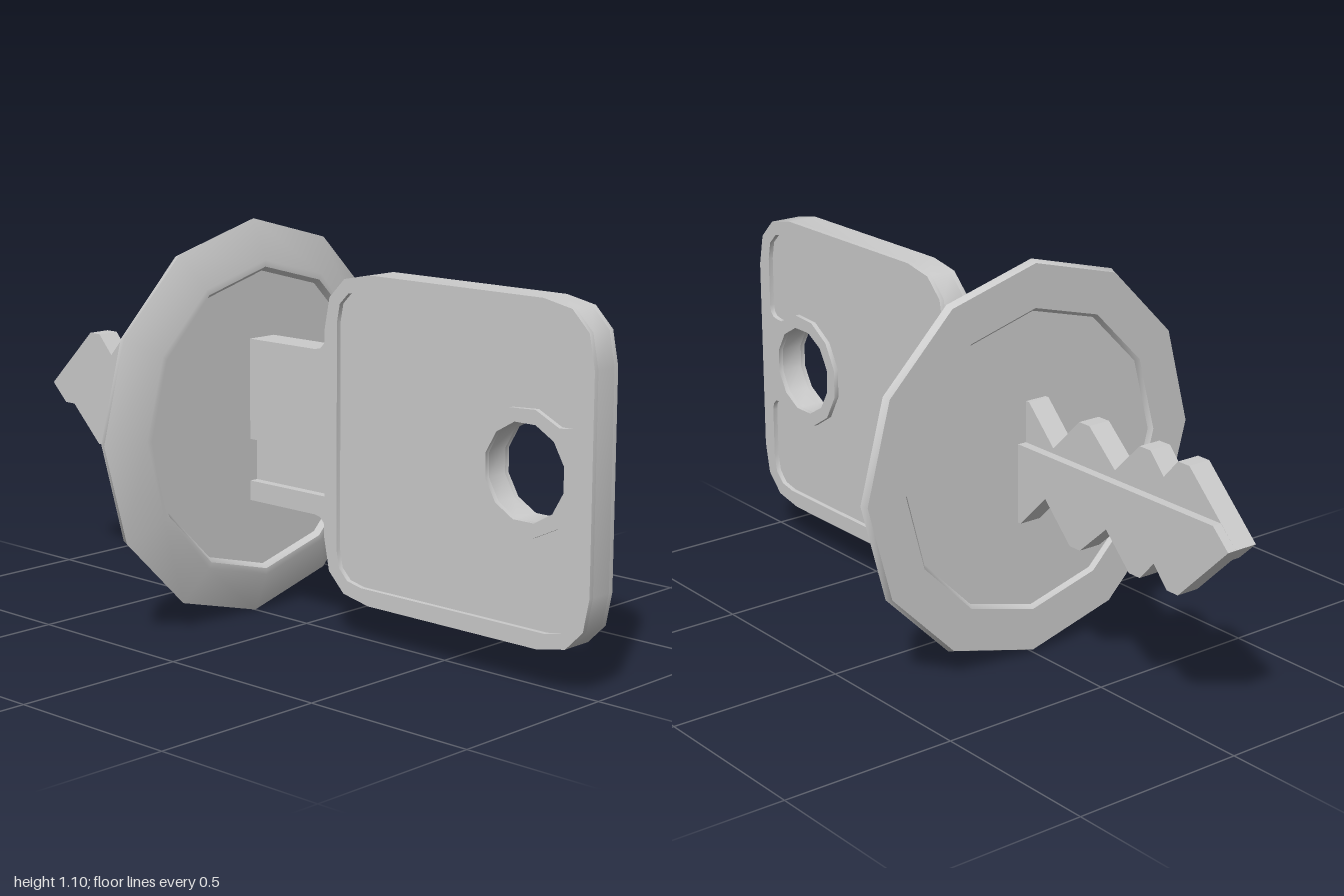
import * as THREE from 'three';
import { toCreasedNormals } from 'three/addons/utils/BufferGeometryUtils.js';

const CY = 0.553;          // height of the key's long axis
const T = 0.046;           // half thickness of the key
const WEB = 0.02;          // half thickness left between the grooves
const PANEL = 0.032;       // half thickness of the sunken handle panel
const HOLE = [0.79, CY];   // centre of the ring hole

export function createModel() {
  const key = new THREE.Group();
  key.name = 'key';
  const material = new THREE.MeshStandardMaterial({ color: 0xcccccc });

  const add = (name, geometry) => {
    const mesh = new THREE.Mesh(toCreasedNormals(geometry, 0.6), material);
    mesh.name = name;
    key.add(mesh);
    return mesh;
  };
  const slab = (name, shape, z0, z1) => {
    const g = new THREE.ExtrudeGeometry(shape, { depth: z1 - z0, bevelEnabled: false, curveSegments: 3 });
    return add(name, g.translate(0, 0, z0));
  };
  const polygon = (pts) => new THREE.Shape(pts.map(([x, y]) => new THREE.Vector2(x, y)));
  const rect = (x0, x1, y0, y1) => polygon([[x0, y0], [x1, y0], [x1, y1], [x0, y1]]);
  const flip = ([x, y]) => [x, 2 * CY - y];

  // Blade: toothed outline, mirrored about the long axis
  const teeth = [[-0.83, 0.72], [-0.79, 0.72], [-0.74, 0.665], [-0.69, 0.72], [-0.65, 0.72],
    [-0.56, 0.63], [-0.46, 0.72], [-0.42, 0.72], [-0.32, 0.62], [-0.22, 0.72], [-0.19, 0.72]];
  const tip = [-1, CY];
  const cut = 0.053;       // the grooves start this far from the axis
  slab('bladeWeb', polygon([tip, ...teeth, ...teeth.map(flip).reverse()]), -WEB, WEB);
  const halfBlade = [tip, ...teeth, [-0.19, CY - cut], [-0.945, CY - cut]];
  slab('bladeFront', polygon(halfBlade), WEB, T);
  slab('bladeBack', polygon(halfBlade.map(flip)), -T, -WEB);

  // Shank: a web with a long groove on each face
  const [lo, hi] = [0.328, 0.778];
  slab('shankWeb', rect(-0.2, 0.12, lo, hi), -WEB, WEB);
  slab('shankFront', rect(-0.2, 0.12, CY - cut, hi), WEB, T);
  slab('shankFrontLip', rect(-0.2, 0.12, lo, 0.383), WEB, T);
  slab('shankBack', rect(-0.2, 0.12, lo, CY + cut), -T, -WEB);
  slab('shankBackLip', rect(-0.2, 0.12, 0.723, hi), -T, -WEB);

  // Fillets where the shank meets the handle
  for (const [y, s] of [[hi, 1], [lo, -1]]) {
    const f = new THREE.Shape();
    f.moveTo(0.075, y);
    f.quadraticCurveTo(0.11, y, 0.114, y + 0.04 * s);
    f.lineTo(0.13, y + 0.04 * s);
    f.lineTo(0.13, y);
    slab(s > 0 ? 'upperFillet' : 'lowerFillet', f, -T, T);
  }

  // Handle: rounded plate with a ring hole and a raised rim on both faces
  const handleShape = () => {
    const [x0, x1, y0, y1, r] = [0.11, 1, 0.11, 0.993, 0.16];
    const s = new THREE.Shape();
    s.moveTo(x0 + r, y0);
    s.lineTo(x1 - r, y0);
    s.quadraticCurveTo(x1, y0, x1, y0 + r);
    s.lineTo(x1, y1 - r);
    s.quadraticCurveTo(x1, y1, x1 - r, y1);
    s.lineTo(x0 + r, y1);
    s.quadraticCurveTo(x0, y1, x0, y1 - r);
    s.lineTo(x0, y0 + r);
    s.quadraticCurveTo(x0, y0, x0 + r, y0);
    const hole = new THREE.Path();
    for (let i = 0; i < 12; i++) {
      const a = (i + 0.5) * Math.PI / 6;
      hole[i ? 'lineTo' : 'moveTo'](HOLE[0] + 0.128 * Math.cos(a), HOLE[1] + 0.128 * Math.sin(a));
    }
    hole.closePath();
    s.holes.push(hole);
    return s;
  };
  // Sunken panel outline, running round a collar joined to the right rim
  const panelPath = () => {
    const [x0, x1, y0, y1, r] = [0.155, 0.953, 0.155, 0.948, 0.09];
    const [t, q] = [0.127, 0.037];
    const p = new THREE.Path();
    p.moveTo(x0 + r, y0);
    p.lineTo(x1 - r, y0);
    p.quadraticCurveTo(x1, y0, x1, y0 + r);
    p.lineTo(x1, CY - t - q);
    p.quadraticCurveTo(x1, CY - t, x1 - q, CY - t);
    for (let i = 0; i <= 9; i++) {
      const a = THREE.MathUtils.degToRad(-50 - i * 260 / 9);
      p.lineTo(HOLE[0] + 0.165 * Math.cos(a), HOLE[1] + 0.165 * Math.sin(a));
    }
    p.lineTo(x1 - q, CY + t);
    p.quadraticCurveTo(x1, CY + t, x1, CY + t + q);
    p.lineTo(x1, y1 - r);
    p.quadraticCurveTo(x1, y1, x1 - r, y1);
    p.lineTo(x0 + r, y1);
    p.quadraticCurveTo(x0, y1, x0, y1 - r);
    p.lineTo(x0, y0 + r);
    p.quadraticCurveTo(x0, y0, x0 + r, y0);
    return p;
  };
  slab('handlePlate', handleShape(), -PANEL, PANEL);
  const rim = handleShape();
  rim.holes.push(panelPath());
  slab('handleRimFront', rim, PANEL, T);
  slab('handleRimBack', rim, -T, -PANEL);

  // Keyhole plate: twelve-sided disc, bevelled towards the handle, sunken centre
  const profile = [[0, -0.208], [0.412, -0.208], [0.422, -0.22], [0.542, -0.22], [0.55, -0.2],
    [0.44, -0.155], [0.422, -0.155], [0.41, -0.17], [0, -0.17]]
    .map(([r, x]) => new THREE.Vector2(r, x));
  const disc = new THREE.LatheGeometry(profile, 12).rotateZ(-Math.PI / 2).translate(0, 0.55, 0);
  add('keyholePlate', disc);

  return key;
}
